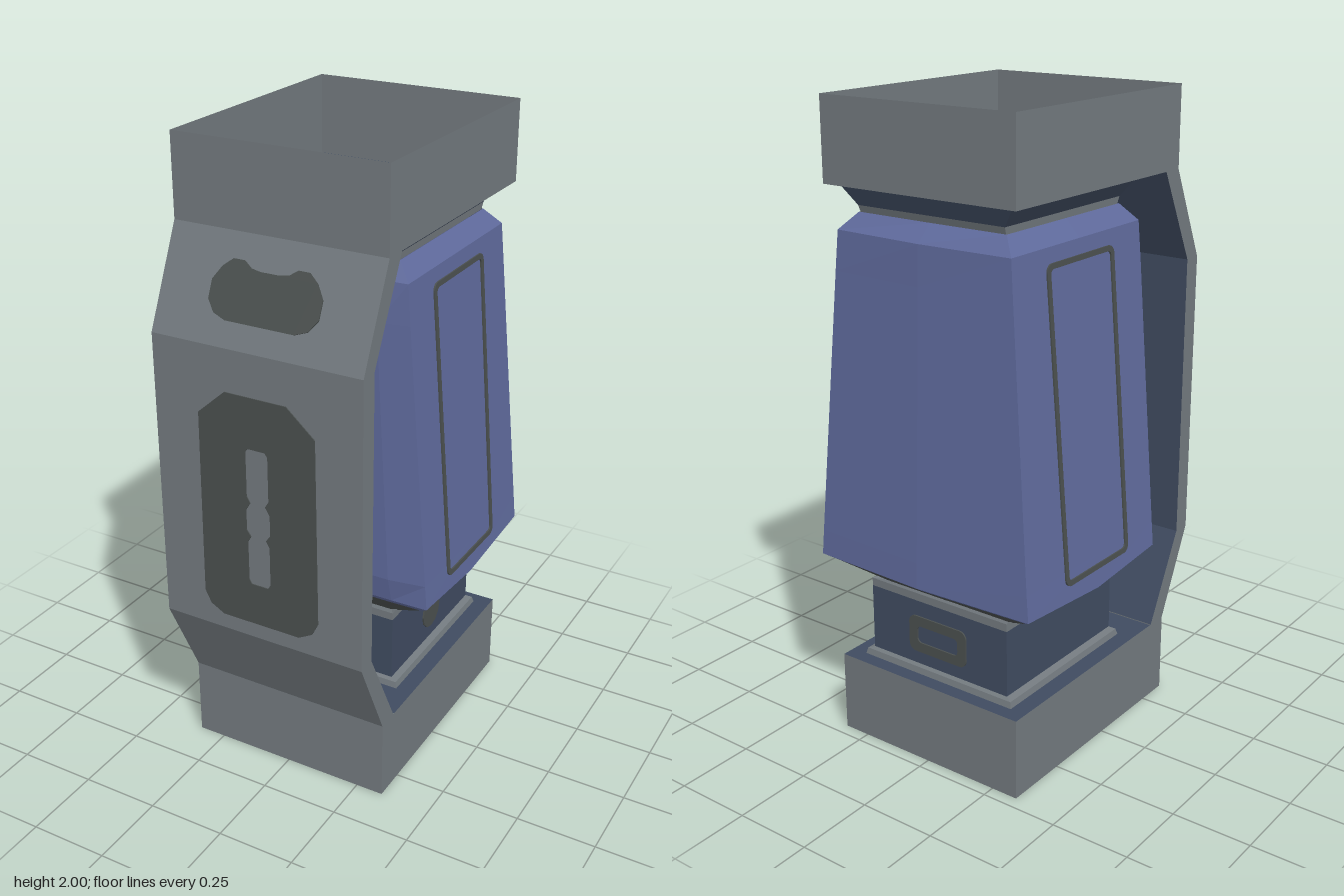
import * as THREE from 'three';

const paint = (name, color) => {
  const m = new THREE.MeshStandardMaterial({ color, side: THREE.DoubleSide, flatShading: true });
  m.name = name;
  return m;
};

const ZC = -0.125; // centre of the square tube in z

export function createModel() {
  const model = new THREE.Group();
  const grey = paint('frame grey', 0x72797e);
  const navy = paint('dark navy', 0x3f4b60);
  const blue = paint('housing blue', 0x5f6a9c);
  const charcoal = paint('charcoal', 0x4a4f4e);

  const add = (name, geo, mat, parent = model) => {
    const mesh = new THREE.Mesh(geo, mat);
    mesh.name = name;
    parent.add(mesh);
    return mesh;
  };

  // Skin a list of cross-sections (each a list of [x, y, z])
  const loft = (name, sections, mat, closed = true) => {
    const pos = [];
    const n = sections[0].length;
    for (let i = 0; i < sections.length - 1; i++) {
      for (let j = 0; j < (closed ? n : n - 1); j++) {
        const k = (j + 1) % n;
        const a = sections[i][j], b = sections[i][k], c = sections[i + 1][k], d = sections[i + 1][j];
        pos.push(...a, ...b, ...c, ...a, ...c, ...d);
      }
    }
    const geo = new THREE.BufferGeometry();
    geo.setAttribute('position', new THREE.Float32BufferAttribute(pos, 3));
    geo.computeVertexNormals();
    return add(name, geo, mat);
  };

  // Rectangular section at height y, ordered so that rising sections face outward
  const rect = (y, hx, hz, zc = ZC) =>
    [[hx, y, zc + hz], [hx, y, zc - hz], [-hx, y, zc - hz], [-hx, y, zc + hz]];

  // Open square collars, each with a navy plate around the tube
  const CZ = -0.0525, CH = 0.4075, CX = 0.338;
  loft('topCollar', [rect(1.75, CX, CH, CZ), rect(2, CX, CH, CZ)], grey);
  loft('bottomCollar', [rect(0, CX, CH, CZ), rect(0.26, CX, CH, CZ)], grey);
  const plateHole = 0.37, plateMid = -0.09;
  loft('topCollarFloor', [rect(1.75, CX, plateHole, plateMid), rect(1.75, 0.305, 0.305)], navy);
  loft('bottomCollarCeiling', [rect(0.26, CX, plateHole, plateMid), rect(0.26, 0.26, 0.275)], navy);

  // Upper neck
  loft('upperNeck', [rect(1.69, 0.26, 0.278), rect(1.75, 0.305, 0.305)], navy);
  loft('upperNeckBand', [rect(1.668, 0.258, 0.27), rect(1.69, 0.26, 0.278)], grey);

  // Tapered housing: corners plus a raised front panel and a creased back
  const housing = (y, hx, front, frontMid, back, backMid, sideY = y, sideX = hx) => [
    [hx, y, front], [sideX, sideY, ZC], [hx, y, back], [0, y, backMid], [-hx, y, back],
    [-sideX, sideY, ZC], [-hx, y, front], [-hx * 0.7, y, frontMid], [hx * 0.7, y, frontMid],
  ];
  const lip = housing(0.577, 0.362, 0.165, 0.168, -0.445, -0.46, 0.562, 0.365);
  loft('housing', [
    lip,
    housing(0.6, 0.393, 0.187, 0.19, -0.477, -0.493, 0.575, 0.395),
    housing(0.68, 0.386, 0.187, 0.205, -0.475, -0.49),
    housing(1.5, 0.318, 0.187, 0.205, -0.445, -0.456),
    housing(1.62, 0.308, 0.185, 0.19, -0.44, -0.452),
    housing(1.67, 0.262, 0.148, 0.15, -0.398, -0.4),
  ], blue);
  loft('housingFunnel', [housing(0.505, 0.235, 0.105, 0.105, -0.355, -0.355), lip], charcoal);

  // Lower neck
  loft('lowerNeckRim', [rect(0.5, 0.26, 0.275), rect(0.525, 0.26, 0.275), rect(0.51, 0.236, 0.235)], grey);
  loft('lowerNeck', [rect(0.285, 0.26, 0.275), rect(0.5, 0.26, 0.275)], navy);
  loft('lowerNeckSkirt', [rect(0.261, 0.285, 0.29), rect(0.28, 0.28, 0.285), rect(0.287, 0.26, 0.275)], grey);

  // Hollow grip strap, navy on the inside face
  const path = [[0.26, 0.285, 0.355], [0.545, 0.43, 0.49], [1.46, 0.43, 0.49], [1.75, 0.285, 0.355]];
  loft('gripStrap', path.map(([y, i, o]) =>
    [[-CX, y, i], [-CX, y, o], [CX, y, o], [CX, y, i]]), grey, false);
  loft('gripStrapLining', path.map(([y, i]) => [[CX, y, i], [-CX, y, i]]), navy, false);

  // Thin plates
  const plate = (shape, depth = 0.005) =>
    new THREE.ExtrudeGeometry(shape, { depth, bevelEnabled: false, curveSegments: 4 });
  const rounded = (Type, w, h, r) => {
    const s = new Type();
    const x = w / 2 - r, y = h / 2 - r;
    s.absarc(x, y, r, 0, Math.PI / 2);
    s.absarc(-x, y, r, Math.PI / 2, Math.PI);
    s.absarc(-x, -y, r, Math.PI, Math.PI * 1.5);
    s.absarc(x, -y, r, Math.PI * 1.5, Math.PI * 2);
    s.closePath();
    return s;
  };
  const frame = (w, h, t, r) => {
    const s = rounded(THREE.Shape, w, h, r);
    s.holes.push(rounded(THREE.Path, w - 2 * t, h - 2 * t, r * 0.6));
    return s;
  };
  const mirrored = (half) =>
    [...half, ...half.slice().reverse().map(([x, y]) => [-x, y])].map(([x, y]) => new THREE.Vector2(x, y));

  // Panel frames on both flanks
  for (const side of [1, -1]) {
    const flank = new THREE.Group();
    flank.name = side > 0 ? 'leftPanel' : 'rightPanel';
    flank.position.set(side * 0.351, 1.105, ZC);
    flank.rotation.z = side * 0.083;
    add('panelFrame', plate(frame(0.33, 0.943, 0.016, 0.025)), charcoal, flank).rotation.y = side * Math.PI / 2;
    model.add(flank);
  }

  // Grip pad with a notched slot
  const pad = new THREE.Shape(mirrored([
    [0.1, 1.33], [0.19, 1.25], [0.195, 0.66], [0.175, 0.62], [0.13, 0.595]]));
  pad.holes.push(new THREE.Path(mirrored([
    [0.028, 1.172], [0.037, 1.16], [0.037, 1.02], [0.025, 1], [0.04, 0.975], [0.04, 0.91],
    [0.025, 0.89], [0.037, 0.87], [0.037, 0.745], [0.028, 0.73]])));
  add('gripPad', plate(pad, 0.003), charcoal).position.z = 0.49;

  // Two-lobed thumb rest on the upper slope
  const bean = new THREE.Shape(mirrored([
    [0.03, 0.062], [0.06, 0.067], [0.085, 0.085], [0.12, 0.085], [0.15, 0.06], [0.175, 0.02],
    [0.175, -0.035], [0.15, -0.07], [0.11, -0.085]]));
  const rest = add('thumbRest', plate(bean, 0.004), charcoal);
  rest.position.set(0, 1.605, 0.4225);
  rest.rotation.x = -0.436;

  // Button and port on the lower neck
  const button = add('neckButton', new THREE.CylinderGeometry(0.058, 0.058, 0.008, 12), charcoal);
  button.rotation.z = Math.PI / 2;
  button.position.set(0.261, 0.385, -0.12);
  const port = add('neckPort', plate(frame(0.22, 0.12, 0.032, 0.025)), charcoal);
  port.rotation.y = Math.PI;
  port.position.set(0, 0.39, -0.4);

  return model;
}
